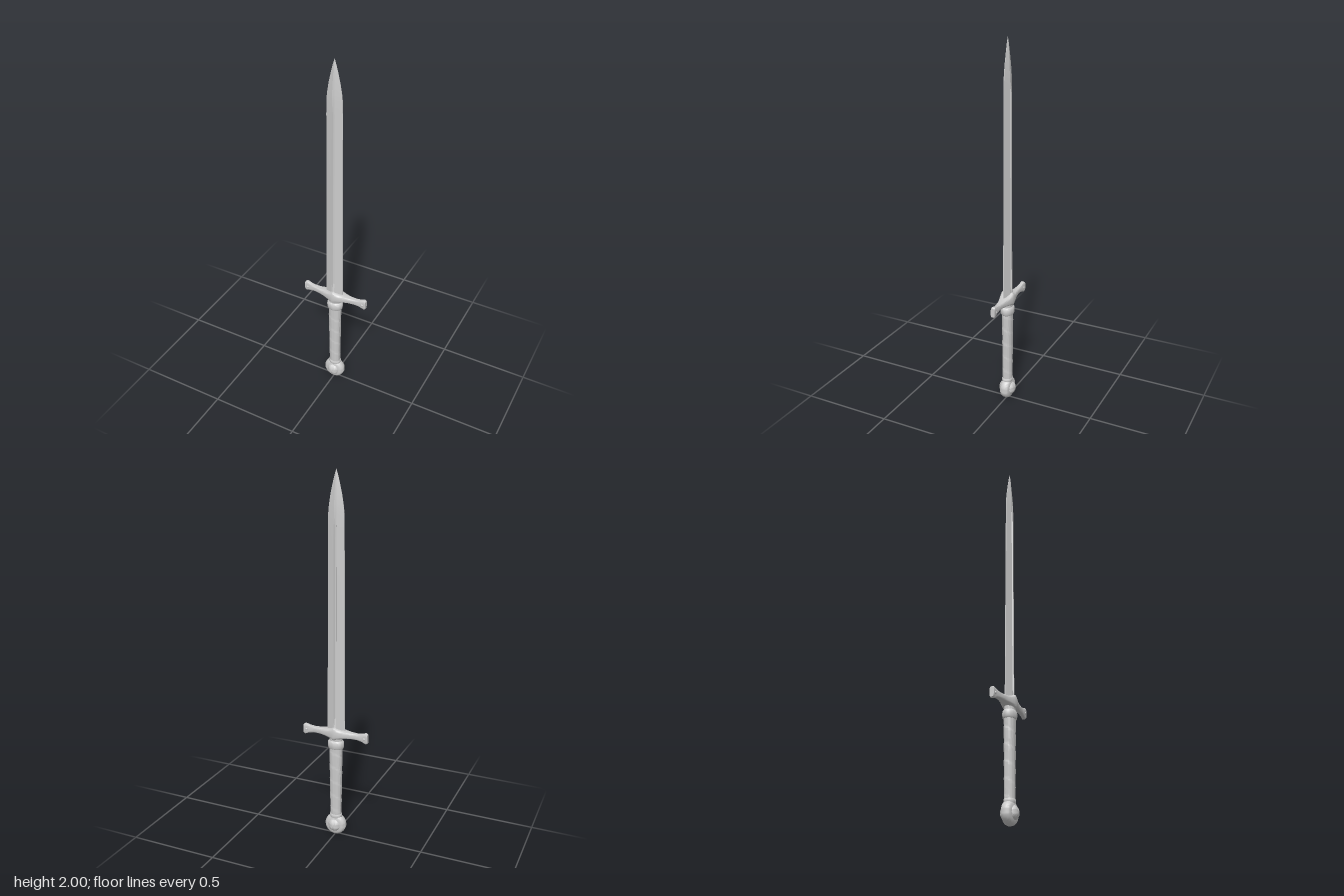
import * as THREE from 'three';
import { toCreasedNormals } from 'three/addons/utils/BufferGeometryUtils.js';

const steel = new THREE.MeshStandardMaterial({ color: 0xcccccc });

// Skin a list of equal-length rings and close both ends.
function loft(rings, crease) {
  const n = rings[0].length, pos = [], idx = [];
  rings.forEach(r => r.forEach(p => pos.push(...p)));
  for (let i = 0; i < rings.length - 1; i++) {
    for (let j = 0; j < n; j++) {
      const a = i * n + j, b = i * n + (j + 1) % n;
      idx.push(a, b, a + n, b, b + n, a + n);
    }
  }
  [0, rings.length - 1].forEach((i, end) => {
    const c = pos.length / 3;
    pos.push(...[0, 1, 2].map(k => rings[i].reduce((s, p) => s + p[k], 0) / n));
    for (let j = 0; j < n; j++) {
      const a = i * n + j, b = i * n + (j + 1) % n;
      idx.push(c, end ? a : b, end ? b : a);
    }
  });
  const g = new THREE.BufferGeometry();
  g.setAttribute('position', new THREE.Float32BufferAttribute(pos, 3));
  g.setIndex(idx);
  return toCreasedNormals(g, crease);
}

// Rounded-rectangle outline between -1 and 1; exponent 1 is an ellipse.
function outline(count, exponent) {
  const soft = v => Math.sign(v) * Math.abs(v) ** exponent;
  return Array.from({ length: count }, (_, i) => {
    const a = ((i + 0.5) / count) * Math.PI * 2;
    return [soft(Math.cos(a)), soft(Math.sin(a))];
  });
}

function part(name, geometry, parent) {
  const m = new THREE.Mesh(geometry, steel);
  m.name = name;
  parent.add(m);
  return m;
}

// Diamond section with a narrow fuller; rows are y, half width, half thickness, fuller depth.
function bladeGeometry() {
  const rows = [
    [0.6, 0.052, 0.021, 0], [0.65, 0.051, 0.021, 0], [0.7, 0.05, 0.02, 0.009],
    [1.2, 0.047, 0.018, 0.008], [1.72, 0.044, 0.016, 0.007], [1.79, 0.043, 0.015, 0],
    [1.83, 0.039, 0.014, 0], [1.88, 0.031, 0.011, 0], [1.93, 0.02, 0.008, 0],
    [1.97, 0.01, 0.005, 0], [2, 0.0008, 0.0008, 0]
  ];
  return loft(rows.map(([y, w, t, d]) => {
    const s = w * 0.16, e = t * 0.12;
    const half = [[-w, e], [-s, t], [-s * 0.5, t - d], [s * 0.5, t - d], [s, t], [w, e]];
    return [...half, ...half.map(([x, z]) => [-x, -z])].map(([x, z]) => [x - 0.002, y, z]);
  }), 0.15);
}

// Crossguard: rows are x, top, bottom, back and front for one arm, mirrored to the other.
function guardGeometry() {
  const arm = [
    [0, 0.655, 0.577, -0.039, 0.038], [0.015, 0.646, 0.584, -0.037, 0.036],
    [0.035, 0.638, 0.589, -0.032, 0.031], [0.06, 0.633, 0.594, -0.025, 0.023],
    [0.09, 0.63, 0.597, -0.019, 0.016], [0.125, 0.63, 0.597, -0.016, 0.011],
    [0.15, 0.634, 0.592, -0.016, 0.008], [0.17, 0.641, 0.585, -0.018, 0.007],
    [0.179, 0.643, 0.581, -0.018, 0.006], [0.187, 0.637, 0.587, -0.018, 0.006]
  ];
  const rows = [...arm.slice(1).reverse().map(([x, ...r]) => [-x, ...r]), ...arm];
  const shape = outline(16, 0.45);
  return loft(rows.map(([x, top, bottom, back, front]) => shape.map(([v, u]) => [
    x, (top + bottom) / 2 + v * (top - bottom) / 2, (front + back) / 2 + u * (front - back) / 2
  ])), 0.6);
}

// Oval grip with overlapping spiral leather wrap.
function gripGeometry() {
  const rings = [], shape = outline(28, 0.9);
  for (let i = 0; i <= 60; i++) {
    const t = i / 60;
    rings.push(shape.map(([v, u]) => {
      const turn = t * 5 + Math.atan2(u, v) / (2 * Math.PI) + 2;
      const wrap = 0.97 + 0.05 * (turn % 1);
      return [u * (0.031 + 0.006 * t) * wrap, 0.115 + 0.425 * t, v * (0.026 + 0.002 * t) * wrap];
    }));
  }
  return loft(rings, 0.7);
}

const lathe = (pts, sides) =>
  toCreasedNormals(new THREE.LatheGeometry(pts.map(p => new THREE.Vector2(...p)), sides), 0.6);

export function createModel() {
  const sword = new THREE.Group();
  sword.name = 'sword';
  part('blade', bladeGeometry(), sword);
  part('crossguard', guardGeometry(), sword);
  part('grip', gripGeometry(), sword);

  // Rivets at the guard ends, on both faces
  const rivet = new THREE.SphereGeometry(0.007, 12, 8);
  for (const x of [-0.169, 0.169]) {
    for (const z of [0.006, -0.016]) {
      const r = part('guardRivet', rivet, sword);
      r.position.set(x, 0.611, z);
      r.scale.z = 0.75;
    }
  }

  // Collar under the guard, and the ferrule above the pommel
  const collar = part('collar', lathe([
    [0, 0.526], [0.041, 0.526], [0.045, 0.532], [0.046, 0.548], [0.045, 0.562],
    [0.041, 0.568], [0.036, 0.572], [0.036, 0.6], [0, 0.6]
  ], 28), sword);
  collar.scale.z = 0.78;
  const ferrule = part('ferrule', lathe([
    [0, 0.105], [0.034, 0.105], [0.036, 0.112], [0.036, 0.122], [0.033, 0.127], [0, 0.127]
  ], 24), sword);
  ferrule.scale.z = 0.82;

  // Wheel pommel with a domed boss on each face
  const pommel = part('pommel', lathe([
    [0, -0.046], [0.012, -0.045], [0.022, -0.041], [0.03, -0.034], [0.034, -0.027],
    [0.046, -0.025], [0.054, -0.02], [0.059, -0.011], [0.06, 0], [0.059, 0.011],
    [0.054, 0.02], [0.046, 0.025], [0.034, 0.027], [0.03, 0.034], [0.022, 0.041],
    [0.012, 0.045], [0, 0.046]
  ], 40), sword);
  pommel.rotation.x = Math.PI / 2;
  pommel.position.y = 0.061;
  pommel.scale.z = 1.017;
  return sword;
}
